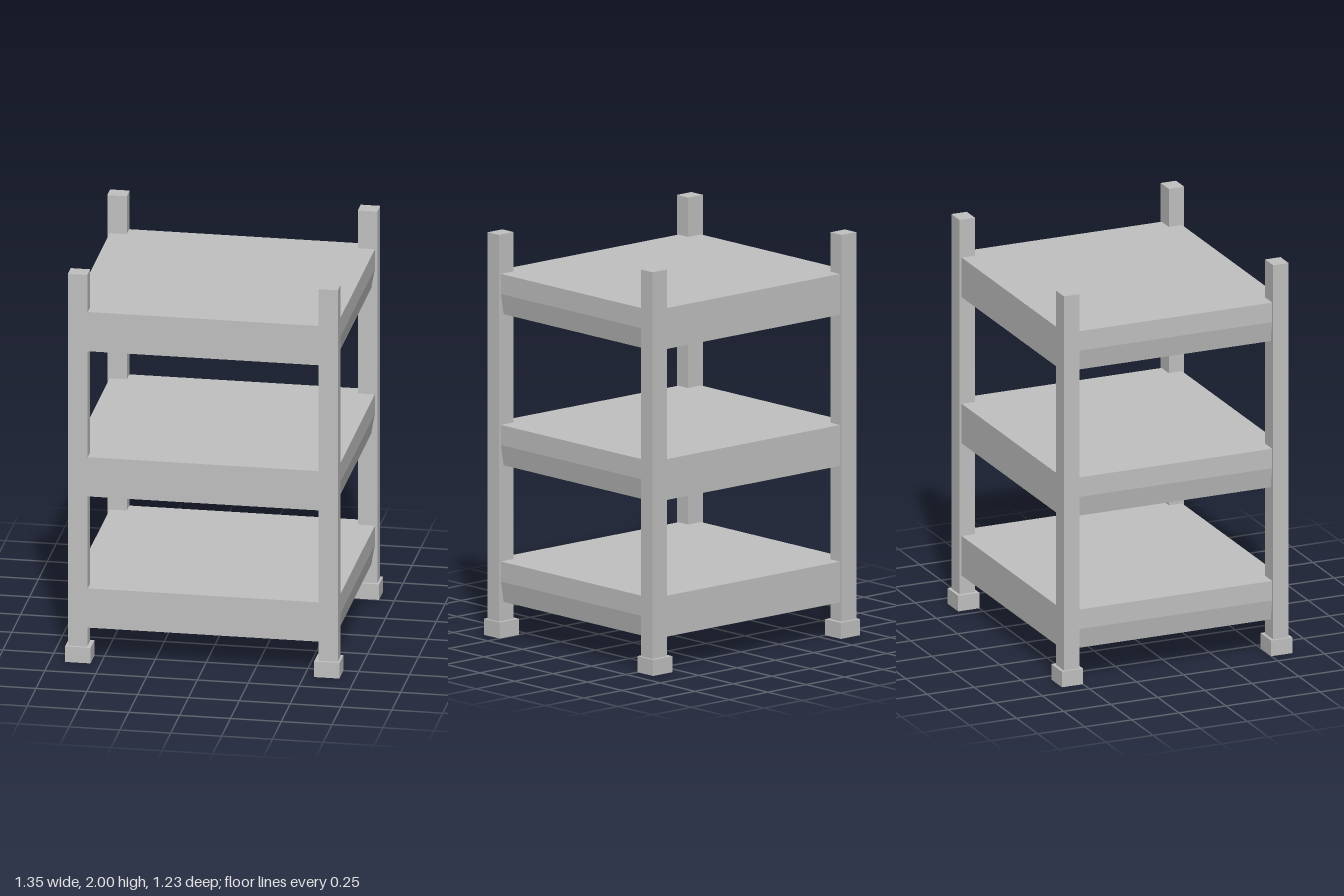
import * as THREE from 'three';

const grey = new THREE.MeshStandardMaterial({ color: 0xc0c0c0 });
grey.name = 'lightGrey';

function add(parent, geometry, name, x, y, z) {
  const mesh = new THREE.Mesh(geometry, grey);
  mesh.name = name;
  mesh.position.set(x, y, z);
  parent.add(mesh);
  return mesh;
}

// Upright rectangular ring, standing on y = 0
function ring(width, depth, rim, height) {
  const rect = (Type, w, d) => new Type([
    new THREE.Vector2(-w / 2, -d / 2), new THREE.Vector2(w / 2, -d / 2),
    new THREE.Vector2(w / 2, d / 2), new THREE.Vector2(-w / 2, d / 2),
  ]);
  const shape = rect(THREE.Shape, width, depth);
  shape.holes.push(rect(THREE.Path, width - 2 * rim, depth - 2 * rim));
  const geometry = new THREE.ExtrudeGeometry(shape, { depth: height, bevelEnabled: false });
  return geometry.rotateX(-Math.PI / 2);
}

// Shelf rim whose left and right sides lean in towards the bottom
function shelfRim(width, depth, rim, height, lean) {
  const geometry = ring(width, depth, rim, height);
  const p = geometry.attributes.position;
  for (let i = 0; i < p.count; i++) {
    const x = p.getX(i);
    if (p.getY(i) < height / 2 && Math.abs(x) > width / 2 - rim / 2) {
      p.setX(i, x - Math.sign(x) * lean);
    }
  }
  geometry.computeVertexNormals();
  return geometry;
}

export function createModel() {
  const model = new THREE.Group();
  model.name = 'shelvingUnit';

  // Three shelves, each a slab over a hollow rim
  const slab = new THREE.BoxGeometry(1.304, 0.1, 1.17);
  const rim = shelfRim(1.304, 1.17, 0.095, 0.103, 0.018);
  [0.174, 0.852, 1.602].forEach((y, i) => {
    const shelf = new THREE.Group();
    shelf.name = `shelf${i + 1}`;
    shelf.position.y = y;
    add(shelf, rim, 'shelfRim', 0, 0, 0);
    add(shelf, slab, 'shelfTop', 0, 0.153, 0);
    model.add(shelf);
  });

  // Four corner posts, each in a hollow foot
  const post = new THREE.BoxGeometry(0.096, 1.97, 0.082);
  const foot = ring(0.126, 0.113, 0.022, 0.08);
  for (const sx of [-1, 1]) {
    for (const sz of [-1, 1]) {
      const leg = new THREE.Group();
      leg.name = `${sz > 0 ? 'front' : 'back'}${sx > 0 ? 'Left' : 'Right'}Leg`;
      leg.position.set(sx * 0.616, 0, sz * 0.556);
      add(leg, post, 'post', 0, 1.015, 0);
      add(leg, foot, 'foot', -sx * 0.004, 0, 0);
      model.add(leg);
    }
  }
  return model;
}
